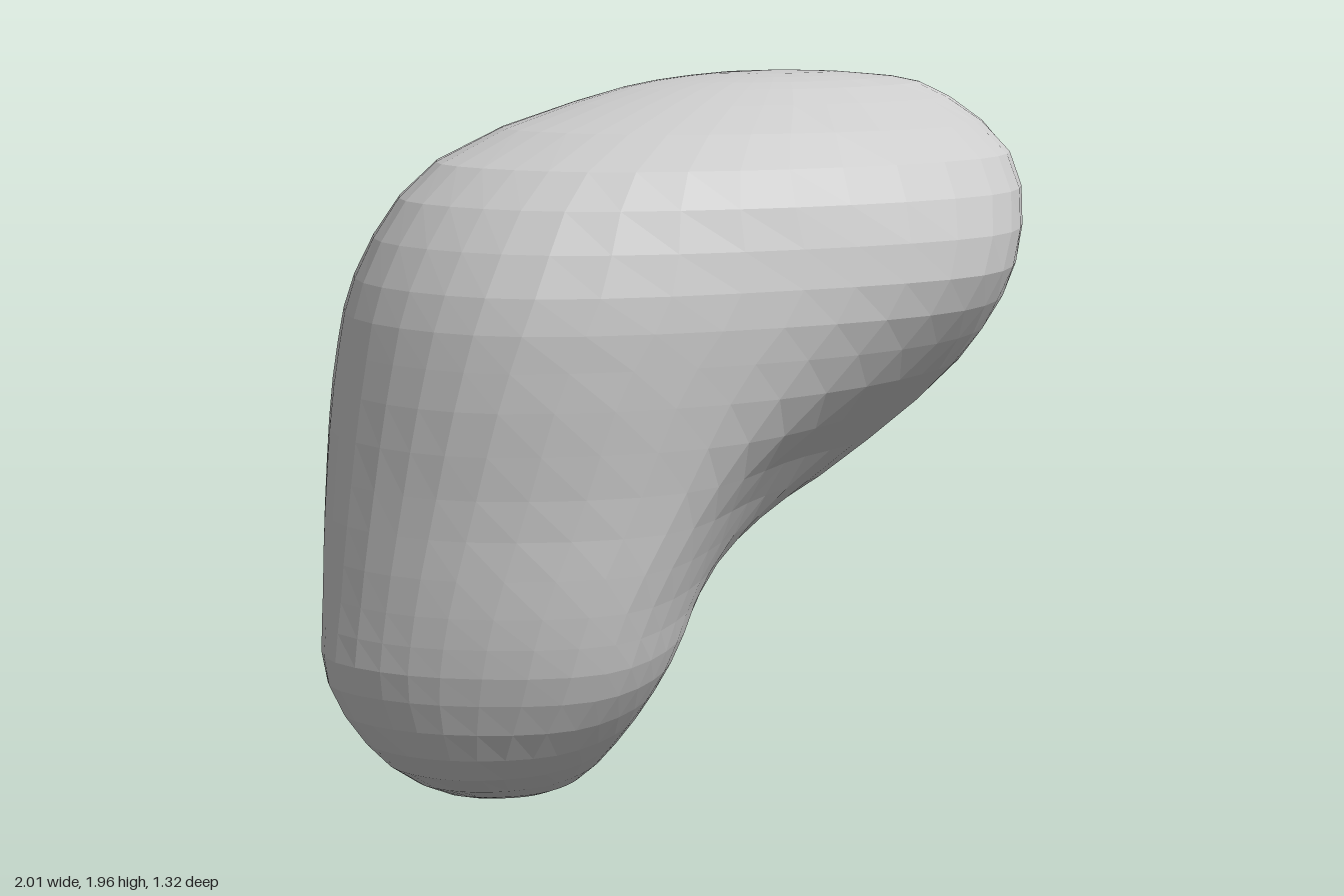
import * as THREE from 'three';

const SIDES = 36, ROWS = 30;

// heights of the horizontal cross-sections
const levels = [0.03, 0.2, 0.42, 0.63, 0.9, 1.2, 1.45, 1.72, 1.91];

// eight x, z pairs per section: right end, then round by the front, left and back
const sections = [
  [-.26, .01, -.3, .08, -.42, .13, -.55, .1, -.62, .04, -.56, -.03, -.43, -.06, -.31, -.05],
  [-.1, .01, -.22, .24, -.5, .4, -.76, .32, -.87, .13, -.77, -.03, -.47, -.11, -.2, -.11],
  [.03, -.06, -.12, .34, -.43, .55, -.84, .38, -1, .11, -.86, -.08, -.45, -.16, -.06, -.17],
  [.2, -.06, -.02, .33, -.37, .59, -.83, .41, -.99, .1, -.84, -.19, -.4, -.35, .08, -.27],
  [.57, .1, .19, .35, -.23, .61, -.78, .44, -.96, .08, -.76, -.36, -.27, -.6, .42, -.22],
  [.87, .2, .58, .48, -.08, .645, -.72, .48, -.915, .06, -.68, -.47, -.17, -.655, .66, -.16],
  [.98, .2, .72, .58, .1, .655, -.64, .49, -.855, .05, -.65, -.39, -.17, -.605, .78, -.14],
  [.99, .17, .78, .47, .1, .57, -.46, .4, -.665, .05, -.47, -.29, -.08, -.44, .8, -.09],
  [.78, .13, .62, .26, .25, .31, -.04, .22, -.16, .04, -.04, -.11, .15, -.18, .62, -.04],
];
const bottom = new THREE.Vector3(-0.44, 0, 0.03);
const top = new THREE.Vector3(0.35, 1.96, 0.05);

// smooth closed ring through the points of one section
function ring(flat, y) {
  const pts = [];
  for (let i = 0; i < flat.length; i += 2) pts.push(new THREE.Vector3(flat[i], y, flat[i + 1]));
  const curve = new THREE.CatmullRomCurve3(pts, true, 'centripetal');
  return Array.from({ length: SIDES }, (_, i) => curve.getPoint(i / SIDES));
}

// skin lofted through the rings, closed at both poles
function loft() {
  const rings = sections.map((s, i) => ring(s, levels[i]));
  // small ring that keeps the crown broad and gently domed
  rings.push(rings.at(-1).map(p => p.clone().lerp(top, 0.5).setY(1.95)));
  const positions = [], indices = [];
  for (let i = 0; i < SIDES; i++) {
    const column = new THREE.CatmullRomCurve3([bottom, ...rings.map(r => r[i]), top], false, 'centripetal');
    for (let j = 0; j <= ROWS; j++) positions.push(...column.getPoint(j / ROWS).toArray());
  }
  const at = (i, j) => (i % SIDES) * (ROWS + 1) + j;
  for (let i = 0; i < SIDES; i++) {
    for (let j = 0; j < ROWS; j++) {
      const a = at(i, j), b = at(i, j + 1), c = at(i + 1, j + 1), d = at(i + 1, j);
      // rows that touch a pole need only one triangle
      if (j < ROWS - 1) indices.push(a, b, c);
      if (j > 0) indices.push(a, c, d);
    }
  }
  const geometry = new THREE.BufferGeometry();
  geometry.setAttribute('position', new THREE.Float32BufferAttribute(positions, 3));
  geometry.setIndex(indices);
  geometry.computeVertexNormals();
  return geometry;
}

export function createModel() {
  const group = new THREE.Group();
  group.name = 'bentLobe';
  const material = new THREE.MeshStandardMaterial({ color: 0xcccccc, flatShading: true });
  const body = new THREE.Mesh(loft(), material);
  body.name = 'lobeBody';
  group.add(body);
  return group;
}
